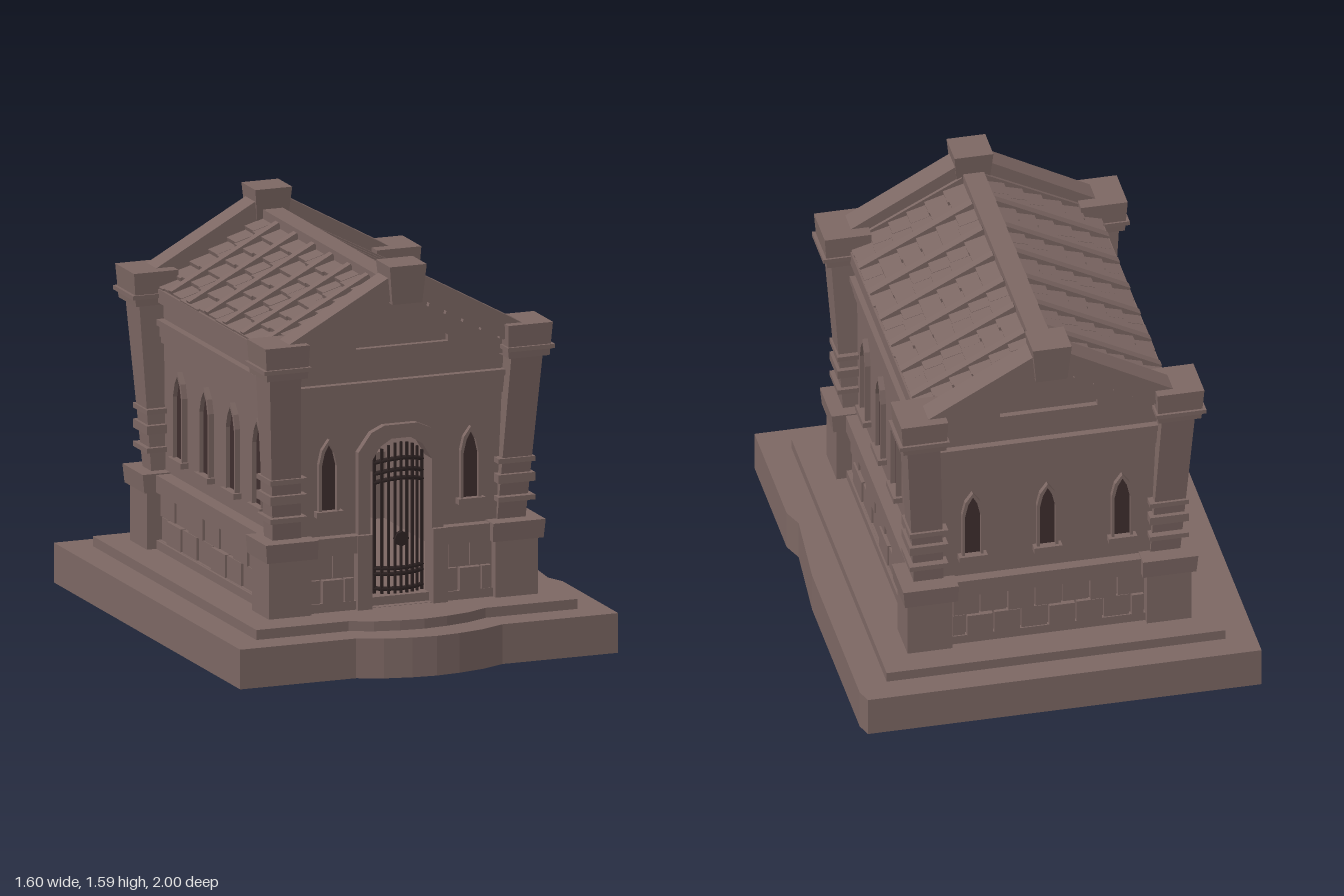
import * as THREE from 'three';

const stone = new THREE.MeshStandardMaterial({ name: 'stone', color: 0x7c6763, side: THREE.DoubleSide });
const dark = new THREE.MeshStandardMaterial({ name: 'darkOpening', color: 0x3e2e2e });
const iron = new THREE.MeshStandardMaterial({ name: 'iron', color: 0x2f2424 });

function add(parent, name, geo, mat = stone) {
  const mesh = new THREE.Mesh(geo, mat);
  mesh.name = name;
  parent.add(mesh);
  return mesh;
}

// Box from its bounds
function box(parent, name, x0, x1, y0, y1, z0, z1, mat = stone) {
  const g = new THREE.BoxGeometry(Math.abs(x1 - x0), y1 - y0, Math.abs(z1 - z0));
  g.translate((x0 + x1) / 2, (y0 + y1) / 2, (z0 + z1) / 2);
  return add(parent, name, g, mat);
}

// Box whose bottom and top rectangles [x0, x1, z0, z1] differ
function taper(parent, name, y0, y1, low, high, sx = 1, sz = 1) {
  const g = new THREE.BoxGeometry(1, 1, 1);
  const p = g.attributes.position;
  for (let i = 0; i < p.count; i++) {
    const up = p.getY(i) > 0, r = up ? high : low;
    const xs = [r[0] * sx, r[1] * sx].sort((a, b) => a - b);
    const zs = [r[2] * sz, r[3] * sz].sort((a, b) => a - b);
    p.setXYZ(i, xs[p.getX(i) > 0 ? 1 : 0], up ? y1 : y0, zs[p.getZ(i) > 0 ? 1 : 0]);
  }
  g.computeVertexNormals();
  return add(parent, name, g);
}

const outline = (pts) => pts.map(([x, y]) => new THREE.Vector2(x, y));
// Right half of an outline, bottom to top, mirrored to a closed one
const mirrored = (half) => [...half, ...half.filter(([x]) => x > 0).reverse().map(([x, y]) => [-x, y])];
const shift = (pts, dx) => pts.map(([x, y]) => [x + dx, y]);

function plate(parent, name, pts, z0, z1, holes = [], mat = stone) {
  const shape = new THREE.Shape(outline(pts));
  holes.forEach((h) => shape.holes.push(new THREE.Path(outline(h))));
  const g = new THREE.ExtrudeGeometry(shape, { depth: z1 - z0, bevelEnabled: false });
  return add(parent, name, g.translate(0, 0, z0), mat);
}

// Open-bottomed step: a wall along the outline and a top with an optional hole
function step(parent, name, pts, y0, y1, hole) {
  const flip = (a) => a.map(([x, z]) => [x, -z]);
  const shape = new THREE.Shape(outline(flip(pts)));
  if (hole) shape.holes.push(new THREE.Path(outline(flip(hole))));
  add(parent, name + 'Top', new THREE.ShapeGeometry(shape).rotateX(-Math.PI / 2).translate(0, y1, 0));
  const pos = [];
  pts.forEach(([ax, az], i) => {
    const [bx, bz] = pts[(i + 1) % pts.length];
    pos.push(ax, y0, az, bx, y0, bz, bx, y1, bz, ax, y0, az, bx, y1, bz, ax, y1, az);
  });
  const g = new THREE.BufferGeometry();
  g.setAttribute('position', new THREE.Float32BufferAttribute(pos, 3));
  g.computeVertexNormals();
  add(parent, name + 'Wall', g);
}

// Pointed window with frame and sill
function lancet(parent, x, z, w, y0, y1) {
  const arch = (e) => shift(mirrored([[w + e, y0], [w + e, y1 - 0.09 + e], [w * 0.6 + e, y1 - 0.035 + e], [0, y1 + e * 1.6]]), x);
  plate(parent, 'windowPane', arch(0), z - 0.002, z + 0.004, [], dark);
  plate(parent, 'windowFrame', arch(0.011), z, z + 0.022, [arch(0)]);
  box(parent, 'windowSill', x - w - 0.025, x + w + 0.025, y0 - 0.023, y0, z, z + 0.035);
}

// Two courses of raised blocks
function blocks(parent, x0, x1, n, z) {
  const w = (x1 - x0) / n;
  for (let row = 0; row < 2; row++) {
    for (let i = 0; i <= n; i++) {
      const off = row ? 0 : -0.5;
      const a = Math.max(x0, x0 + (i + off) * w), b = Math.min(x1, x0 + (i + 1 + off) * w);
      if (b - a < 0.01) continue;
      const rise = 0.016 + 0.006 * ((i * 2 + row) % 3);
      box(parent, 'stoneBlock', a + 0.004, b - 0.004, 0.237 + row * 0.098, 0.329 + row * 0.098, z - 0.01, z + rise);
    }
  }
}

// Horizontal mouldings across a wall
function mouldings(parent, half, z) {
  [[1.015, 1.04, 0.012], [1.04, 1.085, 0.018], [1.085, 1.11, 0.03], [1.18, 1.235, 0.03]].forEach(([a, b, d]) =>
    box(parent, 'moulding', -half, half, a, b, z - 0.03, z + d));
}

const doorHole = mirrored([[0.13, 0.201], [0.13, 0.78], [0.09, 0.845], [0.04, 0.875]]);
const doorEdge = mirrored([[0.18, 0.2], [0.18, 0.83], [0.125, 0.905], [0.07, 0.93]]);

// Iron gate bowed outwards
function gate(parent, z) {
  const bow = (x) => z + 0.035 * (1 - (x / 0.105) ** 2);
  for (let i = -4; i <= 4; i++) {
    const x = i * 0.025;
    box(parent, 'gateBar', x - 0.005, x + 0.005, 0.25, 0.86 - 0.003 * i * i, bow(x) - 0.005, bow(x) + 0.005, iron);
  }
  for (const y of [0.27, 0.33, 0.352, 0.695, 0.73, 0.775]) {
    const path = new THREE.CatmullRomCurve3([-0.105, -0.05, 0, 0.05, 0.105].map((x) =>
      new THREE.Vector3(x, y + (y > 0.6 ? 0.02 * (1 - (x / 0.105) ** 2) : 0), bow(x))));
    add(parent, 'gateRail', new THREE.TubeGeometry(path, 8, 0.009, 4), iron);
  }
  add(parent, 'gateLock', new THREE.CylinderGeometry(0.03, 0.03, 0.02, 8).rotateX(Math.PI / 2).translate(0, 0.47, bow(0)), iron);
}

// Gabled end wall; the front one has the doorway
function endWall(parent, isFront) {
  const g = new THREE.Group();
  g.name = isFront ? 'frontWall' : 'backWall';
  const z = 0.66;
  plate(g, 'wall', [[-0.47, 0.2], [0.47, 0.2], [0.47, 1.2], [-0.47, 1.2]], z - 0.04, z, isFront ? [doorHole] : []);
  mouldings(g, 0.46, z);
  const inner = isFront ? 0.15 : 0;
  for (const s of [-1, 1]) {
    box(g, 'plinth', s * inner, s * 0.46, 0.2, 0.236, z - 0.02, z + 0.03);
    box(g, 'wallBase', s * inner, s * 0.46, 0.2, 0.43, z - 0.02, z + 0.01);
    box(g, 'baseBand', s * inner, s * 0.46, 0.43, 0.5, z - 0.02, z + 0.045);
    lancet(g, s * 0.3, z, 0.032, 0.605, 0.875);
    if (isFront) {
      box(g, 'doorPier', s * 0.13, s * 0.19, 0.2, 0.5, z - 0.03, z + 0.05);
      blocks(g, s > 0 ? 0.195 : -0.385, s > 0 ? 0.385 : -0.195, 2, z + 0.01);
    }
  }
  if (isFront) {
    plate(g, 'doorSurround', doorEdge, z - 0.02, z + 0.03, [doorHole]);
    gate(g, z - 0.005);
  } else {
    lancet(g, 0, z, 0.032, 0.605, 0.875);
    blocks(g, -0.385, 0.385, 7, z + 0.01);
  }
  // Pediment with a sunken panel
  const panel = mirrored([[0.195, 1.25], [0.195, 1.275], [0.07, 1.355]]);
  plate(g, 'pediment', mirrored([[0.45, 1.18], [0.45, 1.25], [0, 1.5]]), z - 0.02, z + 0.04, [panel]);
  plate(g, 'pedimentPanel', panel, z, z + 0.015);
  for (const s of [-1, 1])
    plate(g, 'gableCoping', [[s * 0.5, 1.2], [s * 0.5, 1.3], [0, 1.575], [0, 1.475]], 0.635, 0.735);
  taper(g, 'ridgeBlock', 1.43, 1.585, [-0.063, 0.063, 0.635, 0.755], [-0.078, 0.078, 0.62, 0.765]);
  if (!isFront) g.rotation.y = Math.PI;
  parent.add(g);
}

function sideWall(parent, s) {
  const g = new THREE.Group();
  g.name = s > 0 ? 'leftWall' : 'rightWall';
  const z = 0.475;
  box(g, 'wall', -0.64, 0.64, 0.2, 1.2, z - 0.04, z);
  mouldings(g, 0.6, z);
  box(g, 'plinth', -0.6, 0.6, 0.2, 0.236, z - 0.02, z + 0.045);
  box(g, 'wallBase', -0.6, 0.6, 0.2, 0.43, z - 0.02, z + 0.02);
  box(g, 'baseBand', -0.6, 0.6, 0.43, 0.5, z - 0.02, z + 0.06);
  blocks(g, -0.535, 0.535, 7, z + 0.02);
  for (const x of [-0.408, -0.136, 0.136, 0.408]) lancet(g, x, z, 0.042, 0.585, 0.92);
  g.rotation.y = s * Math.PI / 2;
  parent.add(g);
}

function pillar(parent, sx, sz) {
  const g = new THREE.Group();
  g.name = 'cornerPillar';
  const part = (name, y0, y1, a, b = a) => taper(g, name, y0, y1, a, b, sx, sz);
  part('pillarBase', 0.2, 0.43, [0.39, 0.57, 0.54, 0.715]);
  part('pillarBaseCap', 0.43, 0.505, [0.37, 0.585, 0.53, 0.735], [0.37, 0.592, 0.53, 0.74]);
  part('pillarShaft', 0.5, 1.18, [0.415, 0.535, 0.58, 0.67], [0.445, 0.578, 0.6, 0.745]);
  for (const [y0, y1] of [[0.58, 0.6], [0.655, 0.69], [0.735, 0.755]])
    part('pillarRing', y0, y1, [0.405, 0.56, 0.565, 0.71]);
  part('capital', 1.17, 1.305, [0.425, 0.598, 0.585, 0.765], [0.42, 0.608, 0.58, 0.775]);
  part('capitalBand', 1.2, 1.217, [0.415, 0.615, 0.575, 0.78]);
  parent.add(g);
}

function roof(parent) {
  const g = new THREE.Group();
  g.name = 'roof';
  plate(g, 'roofCore', mirrored([[0.485, 1.19], [0.485, 1.215], [0, 1.467]]), -0.64, 0.64);
  const slope = Math.atan(0.52), rows = 6, w = 0.455 / rows, ribs = 7, gap = 0.185;
  for (const s of [-1, 1]) {
    // Overlapping tiles, each slightly out of line
    for (let i = 0; i < rows; i++) {
      for (let j = 0; j <= ribs; j++) {
        const x = 0.035 + (i + 0.5) * w + 0.004 * Math.sin(i * 5.3 + j * 3.7 + s);
        const tile = add(g, 'roofTile', new THREE.BoxGeometry(w / Math.cos(slope) + 0.008, 0.026, gap - 0.004));
        tile.position.set(s * x, 1.479 - 0.52 * x, (j - ribs / 2) * gap * 0.975);
        tile.rotation.z = -s * (slope - 0.2);
      }
    }
    for (let i = 0; i < ribs; i++) {
      const rib = add(g, 'roofRib', new THREE.BoxGeometry(0.455 / Math.cos(slope), 0.036, 0.036));
      rib.position.set(s * 0.267, 1.494 - 0.52 * 0.267, -0.47 + i * gap);
      rib.rotation.z = -s * slope;
    }
  }
  box(g, 'ridgeBeam', -0.042, 0.042, 1.45, 1.502, -0.64, 0.64);
  parent.add(g);
}

export function createModel() {
  const model = new THREE.Group();
  model.name = 'mausoleum';
  // Stepped base, hollow below, with a bowed front and worn edges
  const floor = [[-0.53, -0.72], [-0.53, 0.6], [0.53, 0.6], [0.53, -0.72]];
  const upper = [[-0.68, -0.89], [-0.68, 0.795], [-0.29, 0.795], [-0.2, 0.837], [-0.1, 0.86], [0, 0.87],
    [0.1, 0.86], [0.2, 0.837], [0.29, 0.795], [0.68, 0.795], [0.68, -0.89]];
  const lower = [[-0.8, -1], [-0.8, 0.92], [-0.31, 0.92], [-0.21, 0.965], [-0.1, 0.99], [0, 1],
    [0.1, 0.99], [0.21, 0.965], [0.31, 0.92], [0.8, 0.92], [0.8, 0.35], [0.77, 0.27], [0.8, -0.1], [0.8, -0.94], [0.78, -1]];
  step(model, 'lowerStep', lower, 0, 0.16, upper);
  step(model, 'upperStep', upper, 0.16, 0.2, floor);
  step(model, 'floor', floor, 0.2, 0.235);

  const building = new THREE.Group();
  building.name = 'building';
  building.position.z = -0.06;
  model.add(building);
  endWall(building, true);
  endWall(building, false);
  for (const s of [-1, 1]) {
    sideWall(building, s);
    for (const t of [-1, 1]) pillar(building, s, t);
  }
  roof(building);
  return model;
}
